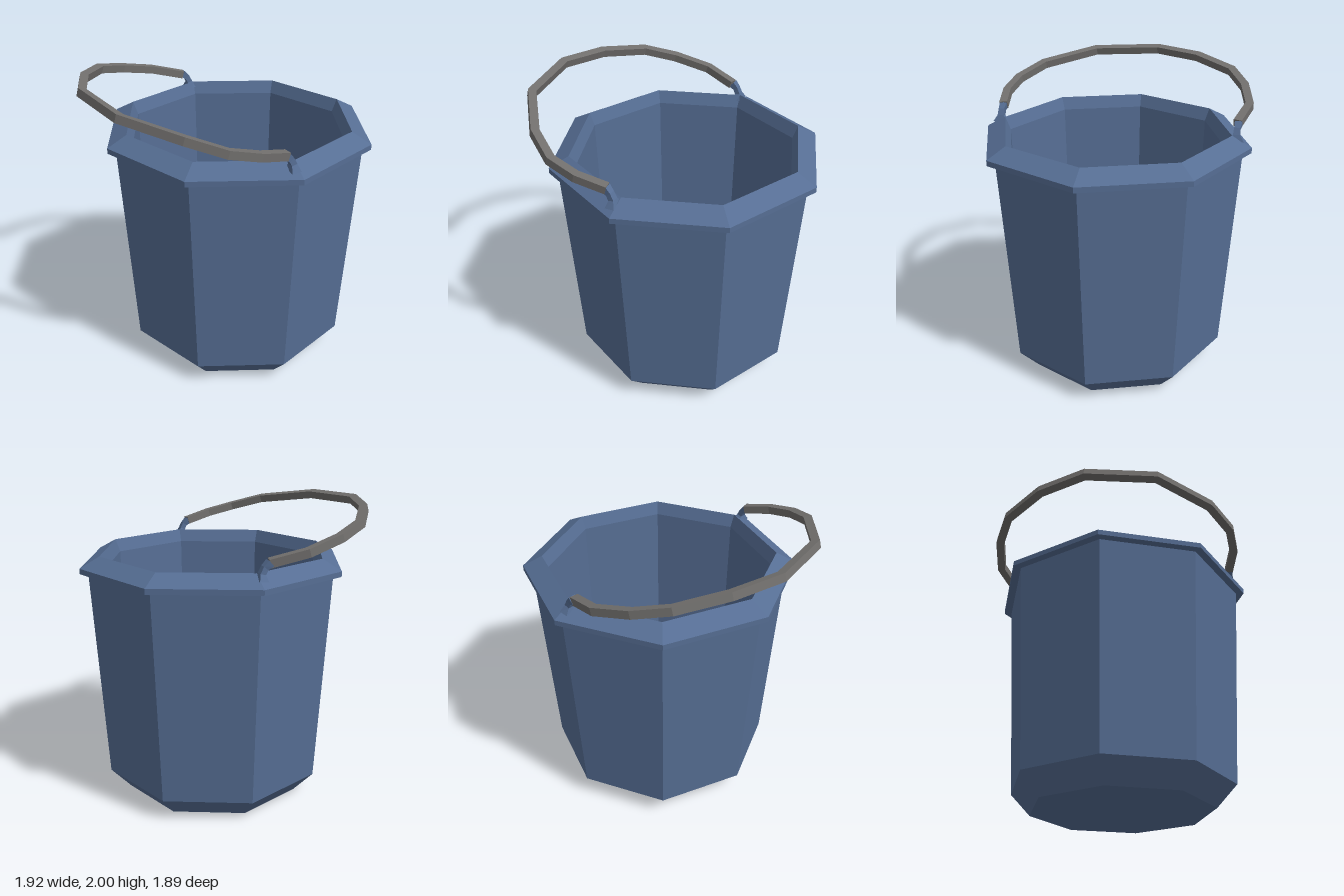
import * as THREE from 'three';

const blue = new THREE.MeshStandardMaterial({ color: 0x566e94, flatShading: true });
blue.name = 'bucketBlue';
const grey = new THREE.MeshStandardMaterial({ color: 0x716f6d, flatShading: true });
grey.name = 'handleGrey';

// Square-section sweep along a path; up is the fixed section axis, sizes are [side, up] half widths.
function sweep(path, up, sizes) {
  const pts = path.map(p => new THREE.Vector3(...p));
  const n = new THREE.Vector3(...up).normalize();
  const rings = pts.map((p, i) => {
    const before = pts[Math.max(i - 1, 0)], after = pts[Math.min(i + 1, pts.length - 1)];
    const side = n.clone().cross(after.clone().sub(before)).normalize();
    const [a, b] = sizes[Math.min(i, sizes.length - 1)];
    return [[1, 1], [-1, 1], [-1, -1], [1, -1]].map(([s, t]) =>
      p.clone().addScaledVector(side, s * a).addScaledVector(n, t * b));
  });
  const out = [];
  const quad = (a, b, c, d) => out.push(a, b, c, a, c, d);
  for (let i = 0; i < rings.length - 1; i++) {
    for (let j = 0; j < 4; j++) {
      const k = (j + 1) % 4;
      quad(rings[i][j], rings[i][k], rings[i + 1][k], rings[i + 1][j]);
    }
  }
  const first = rings[0], last = rings[rings.length - 1];
  quad(first[0], first[3], first[2], first[1]);
  quad(...last);
  const geometry = new THREE.BufferGeometry().setFromPoints(out);
  geometry.computeVertexNormals();
  return geometry;
}

export function createModel() {
  const model = new THREE.Group();
  model.name = 'bucket';
  const add = (name, geometry, material) => {
    const mesh = new THREE.Mesh(geometry, material);
    mesh.name = name;
    model.add(mesh);
    return mesh;
  };

  // Octagonal shell: underside, outer wall, flared rim, inner wall, floor
  const profile = [
    [0, 0], [0.625, 0], [0.762, 0.15], [0.845, 1.57], [0.9, 1.57], [0.9, 1.605],
    [0.77, 1.675], [0.735, 1.59], [0.7, 0.18], [0.557, 0.06], [0, 0.06],
  ].map(([r, y]) => new THREE.Vector2(r, y));
  const shell = add('shell', new THREE.LatheGeometry(profile, 8, -0.02), blue);
  shell.position.set(0.057, 0, -0.05);

  // Swung-down carrying handle
  add('handle', sweep([
    [-0.545, 1.735, -0.57], [-0.74, 1.79, -0.45], [-0.87, 1.85, -0.24], [-0.93, 1.905, -0.02],
    [-0.87, 1.95, 0.30], [-0.72, 1.966, 0.60], [-0.34, 1.95, 0.87], [0.08, 1.89, 0.912],
    [0.31, 1.825, 0.86], [0.46, 1.78, 0.74], [0.565, 1.735, 0.58],
  ], [0.2, 0.96, -0.19], [[0.027, 0.026]]), grey);

  // Curved lugs that join the handle ends to the rim
  const lugSizes = [[0.03, 0.05], [0.018, 0.022], [0.018, 0.02], [0.024, 0.024]];
  const lug = (x, z) => [
    [x, 1.635, z], [x - 0.002, 1.675, z + 0.003], [x - 0.015, 1.71, z + 0.015], [x - 0.04, 1.738, z + 0.035],
  ];
  add('frontLug', sweep(lug(0.598, 0.552), [1, 0, 1], lugSizes), blue);
  add('backLug', sweep(lug(-0.51, -0.61), [1, 0, 1], lugSizes), blue);

  return model;
}
